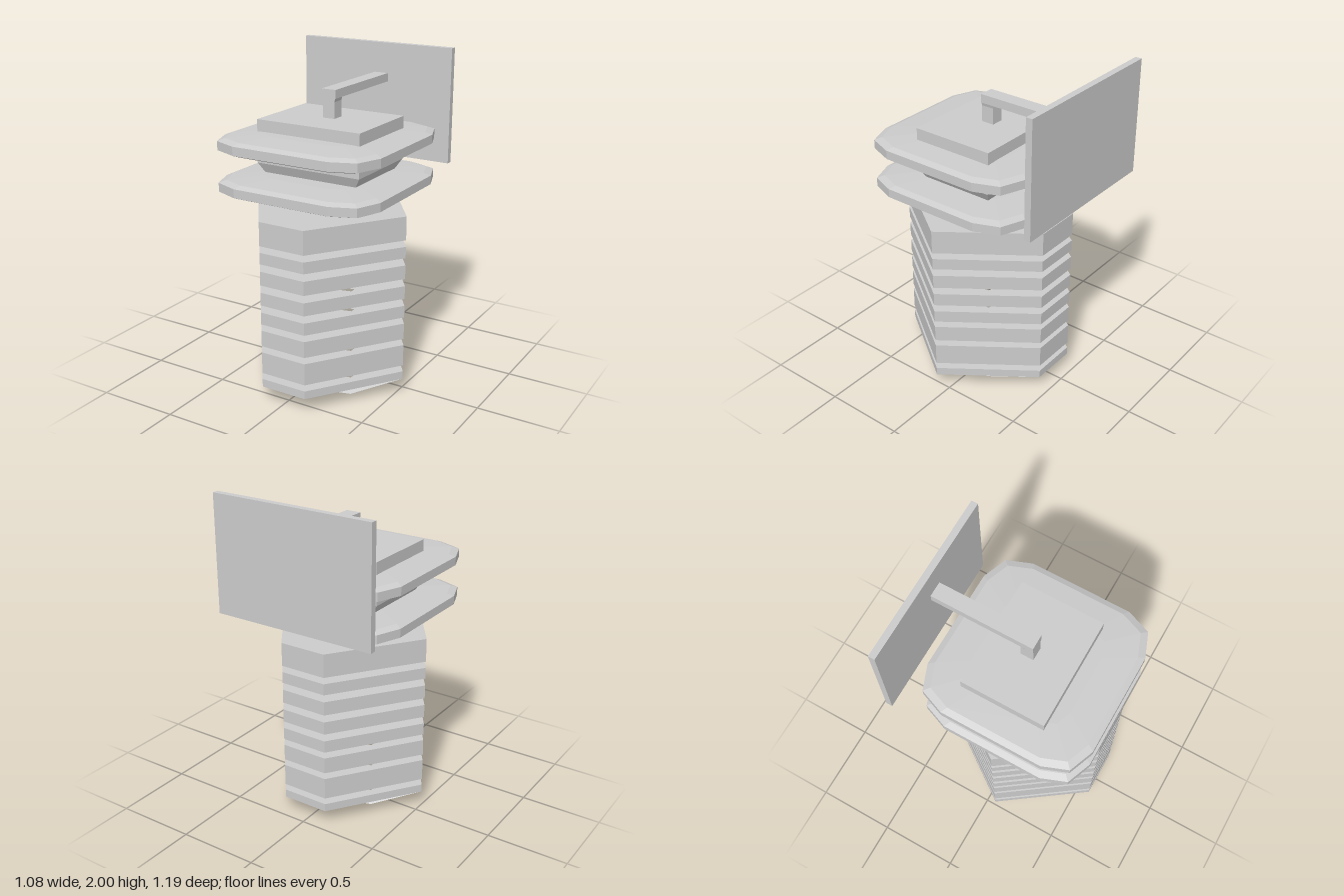
import * as THREE from 'three';

const material = new THREE.MeshStandardMaterial({ color: 0xcccccc, flatShading: true });
const CX = 0.018;

// Outlines as [x, z], ordered from +x towards +z
const hexagon = [[0.518, 0], [0.148, 0.518], [-0.148, 0.518], [-0.518, 0], [-0.148, -0.518], [0.148, -0.518]];
const innerHexagon = [[0.29, 0.23], [0, 0.3], [-0.29, 0.23], [-0.29, -0.23], [0, -0.3], [0.29, -0.23]];
const rectangle = (x, z) => [[x, z], [-x, z], [-x, -z], [x, -z]];
const chamfered = (a, b, c, s = 1) => [
  [a, b], [c, c], [b, a], [-b, a], [-c, c], [-a, b],
  [-a, -b], [-c, -c], [-b, -a], [b, -a], [c, -c], [a, -b],
].map(([x, z]) => [x * s, z * s]);
const ring = (outline, y) => outline.map(([x, z], i) => [x, Array.isArray(y) ? y[i] : y, z]);

// Skin stacked rings from bottom to top, with optional end caps
function loft(rings, capBottom = true, capTop = true) {
  const p = [];
  const tri = (a, b, c) => p.push(...a, ...b, ...c);
  const middle = (r) => [0, r.reduce((s, v) => s + v[1], 0) / r.length, 0];
  const n = rings[0].length;
  for (let i = 0; i < n; i++) {
    const j = (i + 1) % n;
    for (let k = 0; k + 1 < rings.length; k++) {
      const a = rings[k], b = rings[k + 1];
      tri(a[i], b[i], a[j]);
      tri(a[j], b[i], b[j]);
    }
    const low = rings[0], high = rings[rings.length - 1];
    if (capBottom) tri(middle(low), low[i], low[j]);
    if (capTop) tri(middle(high), high[j], high[i]);
  }
  const g = new THREE.BufferGeometry();
  g.setAttribute('position', new THREE.Float32BufferAttribute(p, 3));
  g.computeVertexNormals();
  return g;
}

export function createModel() {
  const group = new THREE.Group();
  const add = (name, geometry, x = 0, y = 0, z = 0) => {
    const mesh = new THREE.Mesh(geometry, material);
    mesh.name = name;
    mesh.position.set(x, y, z);
    group.add(mesh);
  };
  const box = (name, x0, x1, y0, y1, z0, z1) => add(name,
    new THREE.BoxGeometry(x1 - x0, y1 - y0, z1 - z0), (x0 + x1) / 2, (y0 + y1) / 2, (z0 + z1) / 2);

  // Separate hexagonal slabs, open in the middle
  const shape = new THREE.Shape(hexagon.map(([x, z]) => new THREE.Vector2(x, -z)));
  shape.holes.push(new THREE.Path(innerHexagon.map(([x, z]) => new THREE.Vector2(x, -z))));
  const slabs = [[0.095, 0.145], [0.185, 0.32], [0.36, 0.46], [0.5, 0.575], [0.62, 0.7], [0.745, 0.83], [0.875, 0.945]];
  for (const [y0, y1] of slabs) {
    const g = new THREE.ExtrudeGeometry(shape, { depth: y1 - y0, bevelEnabled: false });
    g.rotateX(-Math.PI / 2);
    add('columnSlab', g, CX, y0, 0.067);
  }
  add('topSlab', loft([ring(hexagon, 0.985), ring(hexagon, 1.13)]), CX, 0, 0.067);

  // Faceted underside, each low corner lying below the middle of a slab edge
  const tips = [[0.27, 0.2], [0, 0.245], [-0.27, 0.2], [-0.27, -0.2], [0, -0.29], [0.27, -0.2]];
  add('underside', loft([ring(tips, [0.015, 0, 0.015, 0.02, 0.03, 0.02]), ring(hexagon, 0.095)], true, false), CX, 0, 0.067);

  // Necks widening upwards
  add('lowerNeck', loft([ring(rectangle(0.183, 0.15), 1.13), ring(rectangle(0.25, 0.19), 1.24)]), CX, 0, 0.053);
  add('upperNeck', loft([
    ring(rectangle(0.3, 0.228), 1.315), ring(rectangle(0.342, 0.258), 1.383), ring(rectangle(0.342, 0.258), 1.48),
  ]), CX, 0, 0.053);

  // Rounded square collars with bevelled rims
  for (const y of [1.225, 1.472]) {
    const collar = (s, dy) => ring(chamfered(0.518, 0.31, 0.46, s), y + dy);
    add('collar', loft([collar(0.6, 0), collar(0.93, 0.005), collar(1, 0.02),
      collar(1, 0.073), collar(0.93, 0.088), collar(0.6, 0.1)]), CX, 0, 0.075);
  }

  // Top block, post, arm and back panel
  box('topBlock', -0.323, 0.36, 1.56, 1.642, -0.21, 0.308);
  add('post', loft([
    ring(rectangle(0.039, 0.04), 1.64), ring(rectangle(0.039, 0.04), 1.74), ring(rectangle(0.046, 0.04), 1.765),
  ]), CX, 0, 0.035);
  box('arm', -0.028, 0.065, 1.76, 1.812, -0.56, 0.075);
  box('backPanel', -0.54, 0.495, 1.29, 2, -0.597, -0.557);
  return group;
}
